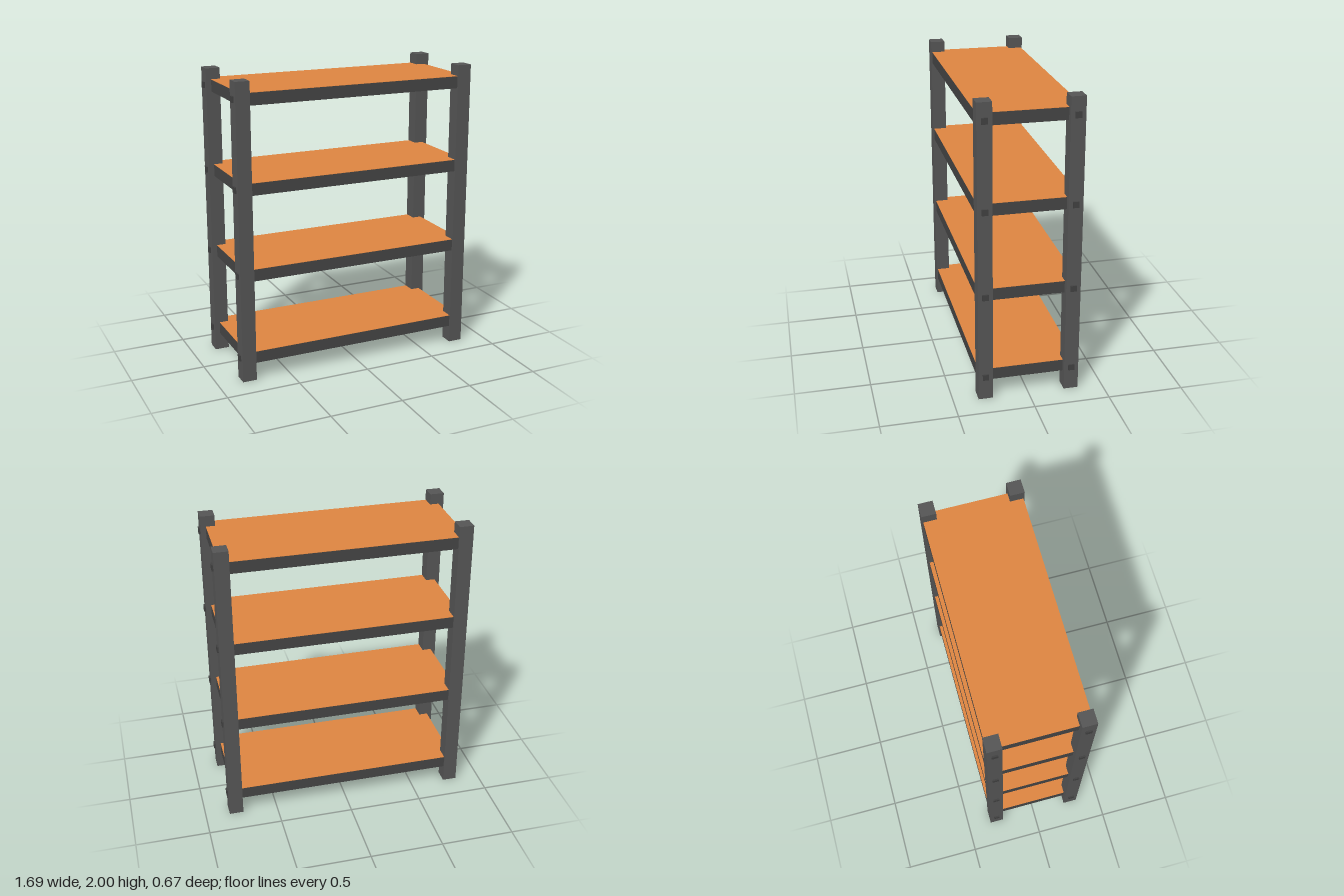
import * as THREE from 'three';

const POST = 0.096, POST_X = 0.787, POST_Z = 0.287;
const LEVELS = [0.16, 0.735, 1.31, 1.886];
const SHELF = { w: 1.6, h: 0.082, d: 0.655, top: 0.002 };

const postMat = new THREE.MeshStandardMaterial({ color: 0x555555 });
const frameMat = new THREE.MeshStandardMaterial({ color: 0x444444 });
const boltMat = new THREE.MeshStandardMaterial({ color: 0x404040 });
const panelMat = new THREE.MeshStandardMaterial({ color: 0xdc8440 });

function box(parent, name, mat, [w, h, d], [x, y, z]) {
  const mesh = new THREE.Mesh(new THREE.BoxGeometry(w, h, d), mat);
  mesh.name = name;
  mesh.position.set(x, y, z);
  parent.add(mesh);
}

export function createModel() {
  const model = new THREE.Group();
  model.name = 'shelvingUnit';

  // Four corner posts, each with a bolt head at every shelf level
  for (const sx of [-1, 1]) {
    for (const sz of [-1, 1]) {
      const corner = new THREE.Group();
      corner.name = (sz > 0 ? 'front' : 'back') + (sx > 0 ? 'Left' : 'Right') + 'Corner';
      box(corner, 'post', postMat, [POST, 2, POST], [sx * POST_X, 1, sz * POST_Z]);
      for (const y of LEVELS) {
        box(corner, 'bolt', boltMat, [0.04, 0.04, 0.04], [sx * 0.825, y, sz * POST_Z]);
      }
      model.add(corner);
    }
  }

  // Shelves: dark slab with a thin coloured top sheet
  LEVELS.forEach((y, i) => {
    const shelf = new THREE.Group();
    shelf.name = 'shelf' + (i + 1);
    shelf.position.y = y;
    const { w, h, d, top } = SHELF;
    box(shelf, 'shelfFrame', frameMat, [w, h - top, d], [0, -top / 2, 0]);
    box(shelf, 'shelfTop', panelMat, [w, top, d], [0, (h - top) / 2, 0]);
    model.add(shelf);
  });

  return model;
}
